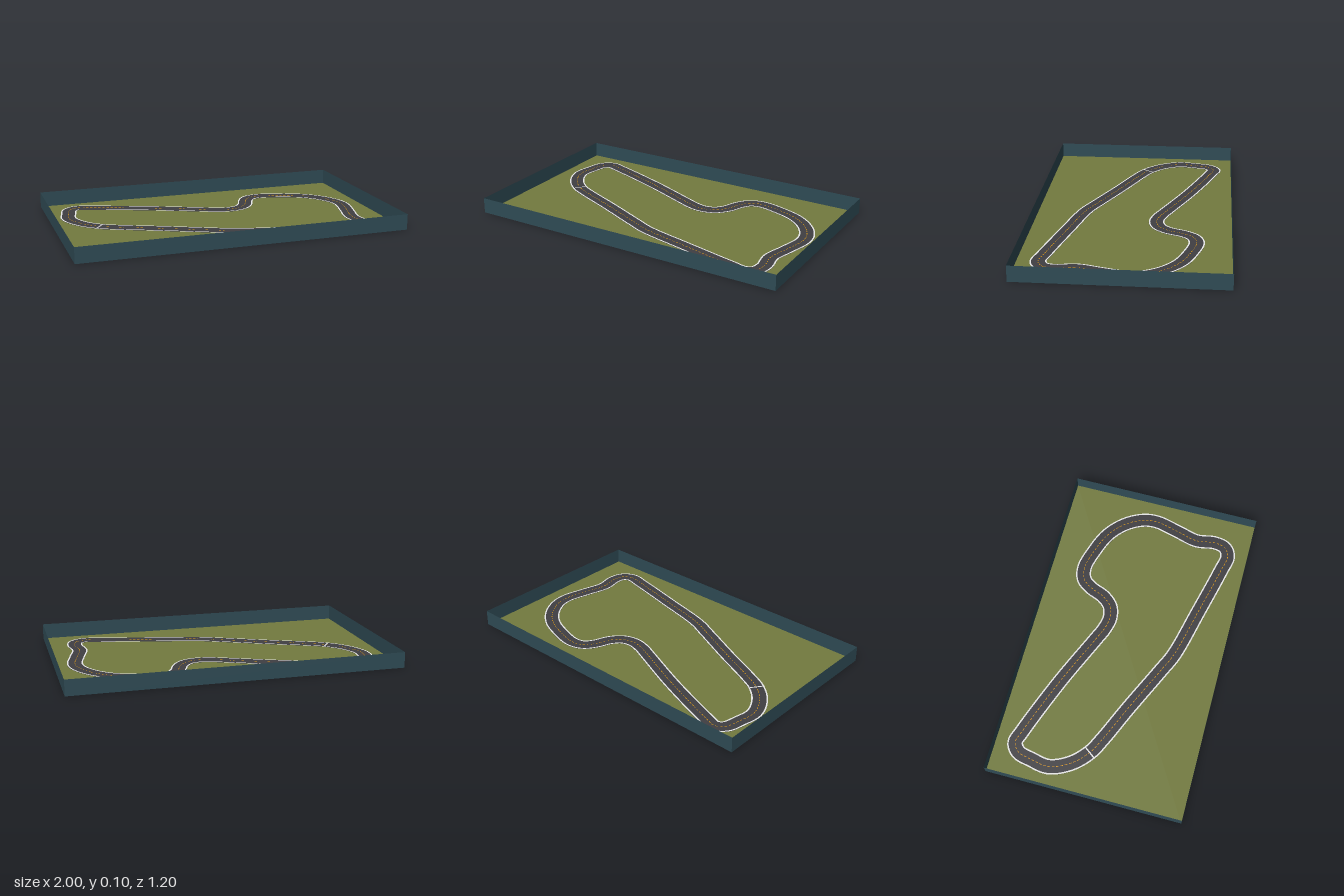
import * as THREE from 'three';

const mat = (name, color, side = THREE.FrontSide) => {
  const m = new THREE.MeshStandardMaterial({ color, side });
  m.name = name;
  return m;
};

export function createModel() {
  const group = new THREE.Group();
  const grass = mat('olive grass', 0x737b3f, THREE.DoubleSide);
  const slate = mat('slate wall', 0x2f4b55, THREE.DoubleSide);
  const asphalt = mat('asphalt', 0x403f43);
  const white = mat('white paint', 0xf0f0f0);
  const orange = mat('orange paint', 0xe09a10);

  const add = (name, geometry, material) => {
    const mesh = new THREE.Mesh(geometry, material);
    mesh.name = name;
    group.add(mesh);
    return mesh;
  };

  // Ground and the open wall around it
  const W = 2, D = 1.204, H = 0.096;
  add('ground', new THREE.PlaneGeometry(W, D).rotateX(-Math.PI / 2), grass).position.y = 0.001;
  for (const s of [1, -1]) {
    const turn = s > 0 ? 0 : Math.PI;
    add(s > 0 ? 'frontWall' : 'backWall',
      new THREE.PlaneGeometry(W, H).rotateY(turn).translate(0, H / 2, s * D / 2), slate);
    add(s > 0 ? 'leftWall' : 'rightWall',
      new THREE.PlaneGeometry(D, H).rotateY(turn + Math.PI / 2).translate(s * W / 2, H / 2, 0), slate);
  }

  // Centre line of the circuit, starting at the start line
  const path = new THREE.CatmullRomCurve3([
    [-0.727, -0.03], [-0.82, -0.12], [-0.877, -0.246], [-0.862, -0.36], [-0.838, -0.448],
    [-0.786, -0.484], [-0.715, -0.465], [-0.342, -0.33], [-0.02, -0.193], [0.06, -0.16],
    [0.139, -0.145], [0.215, -0.165], [0.27, -0.225], [0.308, -0.315], [0.355, -0.375],
    [0.433, -0.396], [0.567, -0.366], [0.70, -0.312], [0.80, -0.225], [0.86, -0.12],
    [0.873, -0.03], [0.84, 0.12], [0.807, 0.257], [0.823, 0.375], [0.806, 0.445],
    [0.749, 0.478], [0.64, 0.458], [0.32, 0.383], [0.005, 0.305], [-0.12, 0.25],
    [-0.40, 0.121], [-0.636, 0.018],
  ].map(([x, z]) => new THREE.Vector3(x, 0, z)), true, 'centripetal');
  path.arcLengthDivisions = 1200;

  // Flat strip along the path between two side offsets
  const strip = (pos, index, from, to, steps, lo, hi, y) => {
    const first = pos.length / 3;
    for (let i = 0; i <= steps; i++) {
      const u = (from + (to - from) * i / steps) % 1;
      const p = path.getPointAt(u), t = path.getTangentAt(u);
      for (const o of [lo, hi]) pos.push(p.x - t.z * o, y, p.z + t.x * o);
      if (i < steps) {
        const a = first + 2 * i;
        index.push(a, a + 1, a + 2, a + 1, a + 3, a + 2);
      }
    }
  };
  const ribbon = (name, material, lo, hi, y, spans = [[0, 1, 400]]) => {
    const pos = [], index = [];
    for (const [from, to, steps] of spans) strip(pos, index, from, to, steps, lo, hi, y);
    const g = new THREE.BufferGeometry();
    g.setAttribute('position', new THREE.Float32BufferAttribute(pos, 3));
    g.setIndex(index);
    g.computeVertexNormals();
    return add(name, g, material);
  };

  // Road surface with painted edges, centre dashes and start line
  const half = 0.048, line = 0.009;
  ribbon('road', asphalt, -half, half, 0.003);
  ribbon('outerEdgeLine', white, -half, -half + line, 0.005);
  ribbon('innerEdgeLine', white, half - line, half, 0.005);
  const dashes = 180;
  ribbon('centreDashes', orange, -0.002, 0.002, 0.005,
    Array.from({ length: dashes }, (_, i) => [i / dashes, (i + 0.6) / dashes, 2]));
  ribbon('startLine', white, -half, half, 0.006, [[0, 0.0018, 1]]);

  return group;
}
